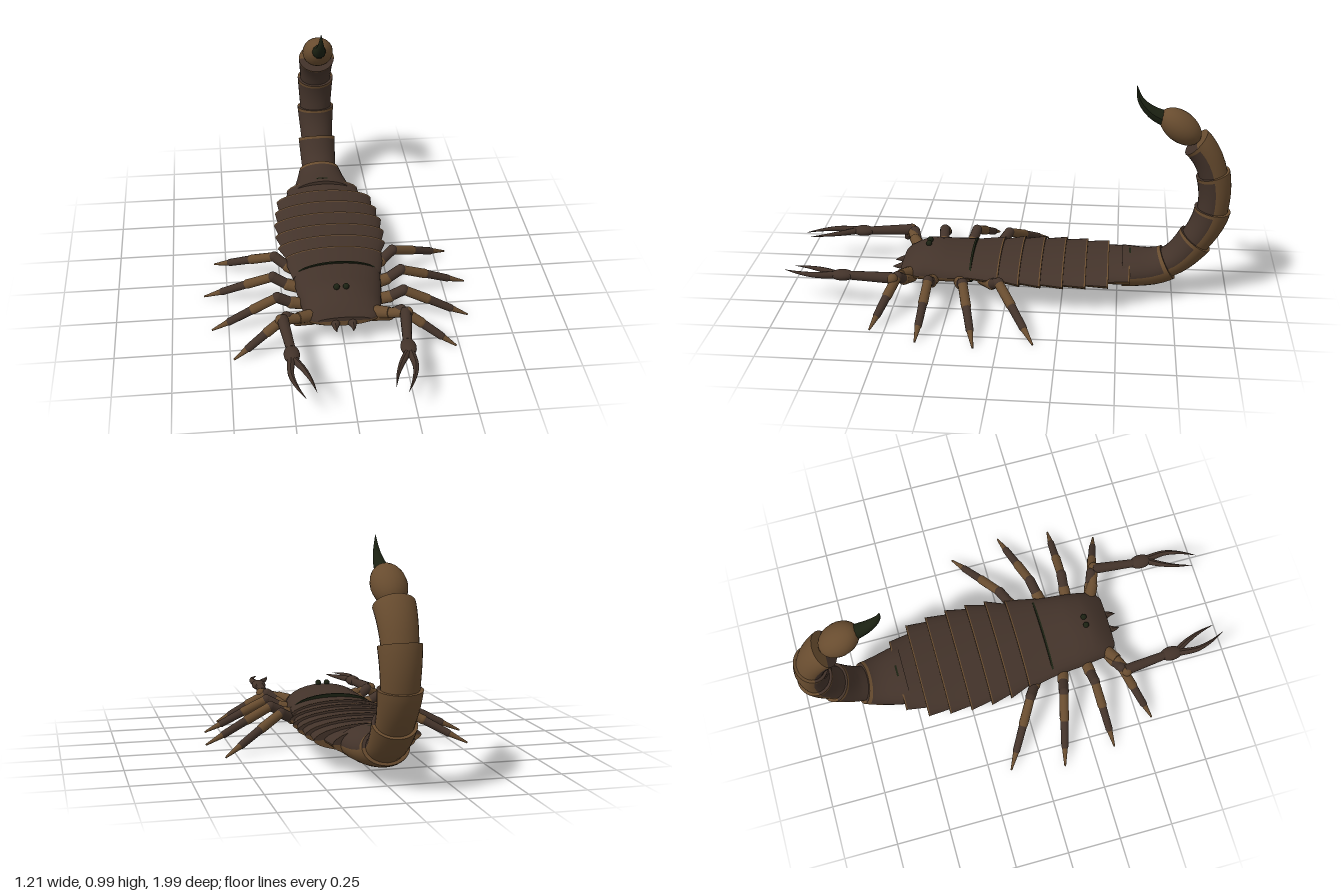
import * as THREE from 'three';
import { toCreasedNormals } from 'three/addons/utils/BufferGeometryUtils.js';

const mat = (name, color) => {
  const m = new THREE.MeshStandardMaterial({ color });
  m.name = name;
  return m;
};
const V = (x, y, z) => new THREE.Vector3(x, y, z);

export function createModel() {
  const shell = mat('dark brown shell', 0x43332a);
  const tan = mat('tan underside', 0x684c2f);
  const black = mat('black green', 0x1b2112);
  const model = new THREE.Group();
  model.name = 'scorpion';

  const add = (name, geometry, material, parent = model) => {
    const mesh = new THREE.Mesh(geometry, material);
    mesh.name = name;
    parent.add(mesh);
    return mesh;
  };

  // Plate lofted through rings: shell on the back, tan below and on rows marked rim
  const plate = (name, rings, power = 1, parent = model) => {
    const N = 28;
    const buckets = [[], []];
    const pts = rings.map(({ z, y, w, up, dn, pitch = 0 }) => {
      const c = Math.cos(pitch), s = Math.sin(pitch);
      return Array.from({ length: N }, (_, i) => {
        const t = (i / N) * Math.PI * 2, sn = Math.sin(t);
        const h = Math.sign(sn) * Math.abs(sn) ** power * (sn > 0 ? up : dn);
        return [w * Math.cos(t), y + h * c, z + h * s];
      });
    });
    const last = rings.length - 1;
    for (let i = 0; i < N; i++) {
      const j = (i + 1) % N, side = i < N / 2 ? 0 : 1;
      for (let r = 0; r < last; r++) {
        const a = pts[r], b = pts[r + 1];
        buckets[rings[r].rim ? 1 : side].push(...a[i], ...b[i], ...a[j], ...b[i], ...b[j], ...a[j]);
      }
      const f = rings[0], e = rings[last];
      buckets[side].push(0, f.y, f.z, ...pts[0][i], ...pts[0][j]);
      buckets[side].push(0, e.y, e.z, ...pts[last][j], ...pts[last][i]);
    }
    let g = new THREE.BufferGeometry();
    g.setAttribute('position', new THREE.Float32BufferAttribute(buckets.flat(), 3));
    g = toCreasedNormals(g, 0.6);
    g.clearGroups();
    g.addGroup(0, buckets[0].length / 3, 0);
    g.addGroup(buckets[0].length / 3, buckets[1].length / 3, 1);
    return add(name, g, [shell, tan], parent);
  };

  // Tapered limb piece between two points
  const piece = (name, a, b, ra, rb, material, parent) => {
    const d = b.clone().sub(a);
    const mesh = add(name, new THREE.CylinderGeometry(rb, ra, d.length(), 12), material, parent);
    mesh.position.copy(a).addScaledVector(d, 0.5);
    mesh.quaternion.setFromUnitVectors(V(0, 1, 0), d.normalize());
    return mesh;
  };

  const ball = (name, p, size, material, parent) => {
    const mesh = add(name, new THREE.SphereGeometry(1, 20, 14), material, parent);
    mesh.position.copy(p);
    mesh.scale.set(...size);
    return mesh;
  };

  // Curved spike: a tube whose radius shrinks to the tip
  const spike = (name, points, radius, material, parent) => {
    const curve = new THREE.CatmullRomCurve3(points), seg = 14, rad = 10;
    const g = new THREE.TubeGeometry(curve, seg, radius, rad);
    const pos = g.attributes.position, p = V(0, 0, 0);
    for (let i = 0; i < pos.count; i++) {
      const u = Math.floor(i / (rad + 1)) / seg, c = curve.getPointAt(u);
      p.fromBufferAttribute(pos, i).lerp(c, u ** 1.4 * 0.98);
      pos.setXYZ(i, p.x, p.y, p.z);
    }
    g.computeVertexNormals();
    return add(name, g, material, parent);
  };

  // Head shield
  plate('carapace', [
    { z: 0.485, y: 0.115, w: 0.12, up: 0.02, dn: 0.025 },
    { z: 0.465, y: 0.115, w: 0.155, up: 0.04, dn: 0.04 },
    { z: 0.42, y: 0.115, w: 0.17, up: 0.07, dn: 0.045 },
    { z: 0.37, y: 0.118, w: 0.178, up: 0.09, dn: 0.05 },
    { z: 0.28, y: 0.12, w: 0.19, up: 0.08, dn: 0.055 },
    { z: 0.16, y: 0.125, w: 0.2, up: 0.068, dn: 0.055 },
  ]);
  const seam = (name, z, w, up) => {
    const m = add(name, new THREE.CylinderGeometry(1, 1, 0.009, 28), black);
    m.rotation.x = Math.PI / 2;
    m.scale.set(w, 1, up);
    m.position.set(0, 0.13, z);
  };
  seam('carapaceSeam', 0.16, 0.19, 0.07);
  seam('tailSeam', -0.553, 0.12, 0.078);

  // Abdomen plates, each flaring towards the rear
  const ends = [0.16, 0.03, -0.065, -0.16, -0.26, -0.36, -0.46, -0.555];
  const widths = [0.2, 0.232, 0.253, 0.26, 0.26, 0.25, 0.235, 0.178];
  for (let i = 0; i < 7; i++) {
    const w = widths[i + 1], w0 = Math.min(widths[i], w + 0.04) - (i ? 0.025 : 0);
    plate('abdomenPlate', [
      { z: ends[i] + 0.02, y: 0.132, w: w0, up: 0.05, dn: 0.045 },
      { z: ends[i + 1] + 0.007, y: 0.132, w: w - 0.002, up: 0.062, dn: 0.055, rim: true },
      { z: ends[i + 1], y: 0.132, w, up: 0.063, dn: 0.056 },
    ], 1.15);
  }

  // Tail: z, y, pitch in degrees, half width, radius at each joint
  const tail = new THREE.Group();
  tail.name = 'tail';
  model.add(tail);
  const joints = [
    [-0.535, 0.13, 0, 0.15, 0.078], [-0.725, 0.155, 28, 0.1, 0.078],
    [-0.845, 0.275, 55, 0.093, 0.082], [-0.913, 0.425, 82, 0.092, 0.081],
    [-0.905, 0.595, 105, 0.089, 0.076], [-0.825, 0.738, 138, 0.087, 0.07],
  ];
  for (let i = 0; i < 5; i++) {
    const [za, ya, pa, wa, ra] = joints[i], [zb, yb, pb, wb, rb] = joints[i + 1];
    const a = V(0, ya, za), b = V(0, yb, zb), k = a.distanceTo(b) / 3;
    const dir = (p) => V(0, Math.sin(p), -Math.cos(p));
    const A = THREE.MathUtils.degToRad(pa), B = THREE.MathUtils.degToRad(pb);
    const curve = new THREE.CubicBezierCurve3(
      a, a.clone().addScaledVector(dir(A), k), b.clone().addScaledVector(dir(B), -k), b);
    const shrink = i ? 0.84 : 1;
    const rings = [-0.06, 0.2, 0.4, 0.6, 0.8, 0.9, 1].map((t) => {
      const p = curve.getPoint(Math.max(t, 0)), f = Math.max(t, 0);
      if (t < 0) p.addScaledVector(dir(A), -0.015);
      const r = THREE.MathUtils.lerp(ra * shrink, rb, f);
      return {
        z: p.z, y: p.y, pitch: A + (B - A) * f, rim: t === 0.9,
        w: THREE.MathUtils.lerp(wa * shrink, wb, f), up: r, dn: r,
      };
    });
    plate('tailSegment', rings, 1, tail);
  }
  const bulb = ball('venomBulb', V(0, 0.808, -0.752), [0.074, 0.105, 0.068], tan, tail);
  bulb.rotation.x = 0.92;
  spike('stinger', [V(0, 0.835, -0.7), V(0, 0.872, -0.625), V(0, 0.925, -0.575), V(0, 0.99, -0.557)],
    0.036, black, tail);

  // Belly
  ball('bellyPlate', V(0, 0.085, 0.2), [0.1, 0.035, 0.1], tan);

  // Legs: root and tip in plan (x, z)
  const legs = [
    [0.13, 0.43, 0.485, 0.565], [0.13, 0.325, 0.575, 0.352],
    [0.13, 0.22, 0.605, 0.1], [0.13, 0.11, 0.555, -0.15],
  ];
  // Fraction along the leg, height and radius at each joint
  const steps = [[0, 0.095, 0.03], [0.2, 0.115, 0.027], [0.34, 0.15, 0.024],
    [0.58, 0.098, 0.022], [0.82, 0.043, 0.017], [1, 0.004, 0.004]];
  const legParts = [['coxa', tan], ['upperLeg', shell], ['middleLeg', tan], ['lowerLeg', shell], ['foot', tan]];

  for (const s of [1, -1]) {
    const side = s > 0 ? 'left' : 'right';
    for (const [x0, z0, x1, z1] of legs) {
      const leg = new THREE.Group();
      leg.name = side + 'Leg';
      model.add(leg);
      const at = ([f, y]) => V(s * (x0 + (x1 - x0) * f), y, z0 + (z1 - z0) * f);
      legParts.forEach(([name, m], i) => {
        const [p, q] = [steps[i], steps[i + 1]];
        piece(name, at(p), at(q), p[2] * 0.88, q[2], m, leg);
        if (i < 4) ball('joint', at(q), [q[2], q[2], q[2]], m, leg);
      });
    }

    // Claw arm
    const arm = new THREE.Group();
    arm.name = side + 'ClawArm';
    model.add(arm);
    const P = (x, y, z) => V(s * x, y, z);
    piece('shoulder', P(0.13, 0.115, 0.43), P(0.2, 0.135, 0.47), 0.03, 0.025, tan, arm);
    piece('upperArm', P(0.19, 0.13, 0.465), P(0.28, 0.15, 0.495), 0.022, 0.024, tan, arm);
    ball('elbow', P(0.275, 0.15, 0.495), [0.025, 0.024, 0.025], tan, arm);
    piece('forearm', P(0.268, 0.15, 0.49), P(0.246, 0.145, 0.69), 0.026, 0.02, shell, arm);
    ball('palm', P(0.245, 0.145, 0.725), [0.034, 0.024, 0.054], shell, arm);
    spike('outerFinger', [P(0.25, 0.145, 0.76), P(0.257, 0.145, 0.85), P(0.237, 0.143, 0.93), P(0.205, 0.14, 1)],
      0.017, shell, arm);
    spike('innerFinger', [P(0.24, 0.145, 0.755), P(0.205, 0.145, 0.82), P(0.178, 0.143, 0.89), P(0.16, 0.14, 0.965)],
      0.016, shell, arm);

    // Eyes and mouthparts
    ball(side + 'Eye', P(0.021, 0.213, 0.366), [0.014, 0.014, 0.014], black);
    ball(side + 'Jaw', P(0.037, 0.102, 0.475), [0.021, 0.021, 0.03], shell);
    spike(side + 'Fang', [P(0.037, 0.102, 0.485), P(0.039, 0.1, 0.51), P(0.036, 0.096, 0.535)], 0.017, shell);
  }
  return model;
}
